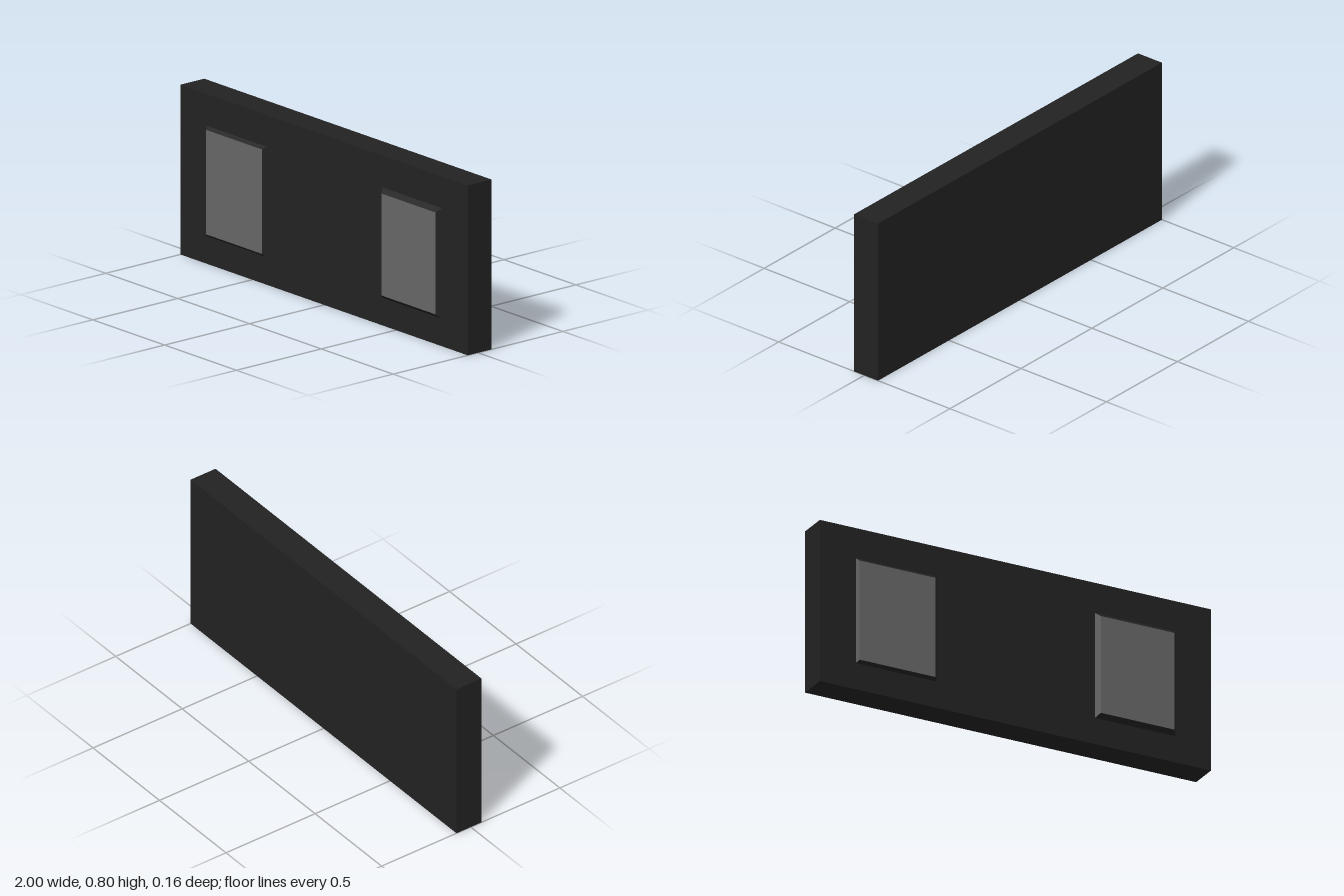
import * as THREE from 'three';

const black = new THREE.MeshStandardMaterial({ color: 0x222222 });
black.name = 'black casing';
const grey = new THREE.MeshStandardMaterial({ color: 0x666666 });
grey.name = 'grey pad';

const FRONT = 0.06, BACK = -0.08;

// Box whose front face is drawn in by an inset, giving a bevelled pad;
// the front face is grey and the sloping rim black
function makePad(name, x, y, width, height, depth, insetX, insetY) {
  const geometry = new THREE.BoxGeometry(width, height, depth);
  const p = geometry.attributes.position;
  for (let i = 0; i < p.count; i++) {
    if (p.getZ(i) > 0) {
      p.setX(i, p.getX(i) - Math.sign(p.getX(i)) * insetX);
      p.setY(i, p.getY(i) - Math.sign(p.getY(i)) * insetY);
    }
  }
  geometry.computeVertexNormals();
  const pad = new THREE.Mesh(geometry, [black, black, black, black, grey, black]);
  pad.name = name;
  pad.position.set(x, y, FRONT + depth / 2);
  return pad;
}

export function createModel() {
  const model = new THREE.Group();
  model.name = 'panel';

  // Main slab
  const slab = new THREE.Mesh(new THREE.BoxGeometry(2, 0.8, FRONT - BACK), black);
  slab.name = 'slab';
  slab.position.set(0, 0.4, (FRONT + BACK) / 2);
  model.add(slab);

  // Raised pads; the left one stands slightly prouder
  model.add(
    makePad('rightPad', -0.61, 0.39, 0.412, 0.52, 0.014, 0.011, 0.014),
    makePad('leftPad', 0.613, 0.39, 0.412, 0.52, 0.022, 0.018, 0.02),
  );
  return model;
}
